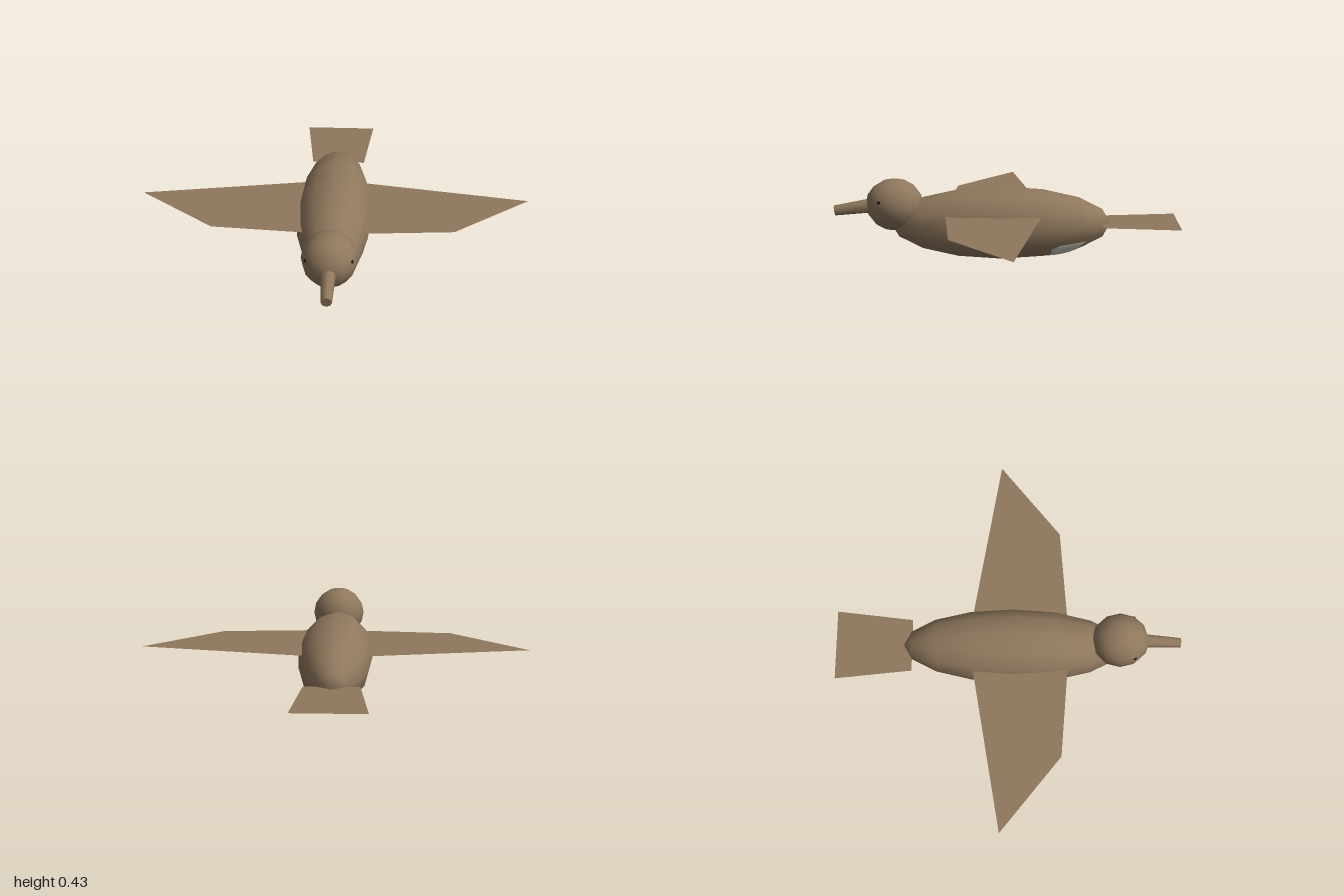
import * as THREE from 'three';

const material = (name, color, side = THREE.FrontSide) => {
  const m = new THREE.MeshStandardMaterial({ color, side });
  m.name = name;
  return m;
};

export function createModel() {
  const model = new THREE.Group();
  model.name = 'bird';
  const brown = material('feather brown', 0x8f785d, THREE.DoubleSide);
  const pale = material('belly grey', 0xd0cdc4);
  const dark = material('eye black', 0x1c1815);

  const add = (name, geometry, mat, x, y, z, tilt = 0) => {
    const mesh = new THREE.Mesh(geometry, mat);
    mesh.name = name;
    mesh.position.set(x, y, z);
    mesh.rotation.x = tilt;
    model.add(mesh);
    return mesh;
  };

  // Low-segment ellipsoid; the poles may lie along z
  const ellipsoid = (rx, ry, rz, alongZ = false) => {
    const g = new THREE.SphereGeometry(1, 12, 8);
    if (alongZ) g.rotateX(Math.PI / 2);
    return g.scale(rx, ry, rz);
  };

  // Flat horizontal plate from [x, z] corners
  const plate = (corners) => {
    const shape = new THREE.Shape(corners.map(([x, z]) => new THREE.Vector2(x, -z)));
    return new THREE.ShapeGeometry(shape).rotateX(-Math.PI / 2);
  };

  // Body with a pale belly just breaking through its underside
  add('body', ellipsoid(0.193, 0.193, 0.57, true), brown, 0, 0.195, 0.03);
  add('belly', ellipsoid(0.13, 0.087, 0.22), pale, 0, 0.12, -0.27, 0.22);

  // Head and tapered beak
  add('head', ellipsoid(0.138, 0.135, 0.15), brown, 0, 0.293, 0.58);
  const beak = new THREE.CylinderGeometry(0.027, 0.04, 0.235, 8).rotateX(Math.PI / 2);
  add('beak', beak, brown, 0, 0.276, 0.775, 0.14);

  // Eyes and wings, mirrored
  for (const [side, s] of [['left', 1], ['right', -1]]) {
    add(`${side}Eye`, new THREE.SphereGeometry(0.01, 8, 6), dark, s * 0.109, 0.325, 0.65);
    const wing = plate([[0.1, -0.186], [0.1, 0.313], [0.61, 0.275], [1, -0.035]].map(([x, z]) => [s * x, z]));
    add(`${side}Wing`, wing, brown, 0, 0.26, 0);
  }

  // Tail fan
  add('tail', plate([[-0.14, -0.495], [0.14, -0.495], [0.185, -0.89], [-0.185, -0.89]]), brown, 0, 0.2, 0);

  return model;
}
